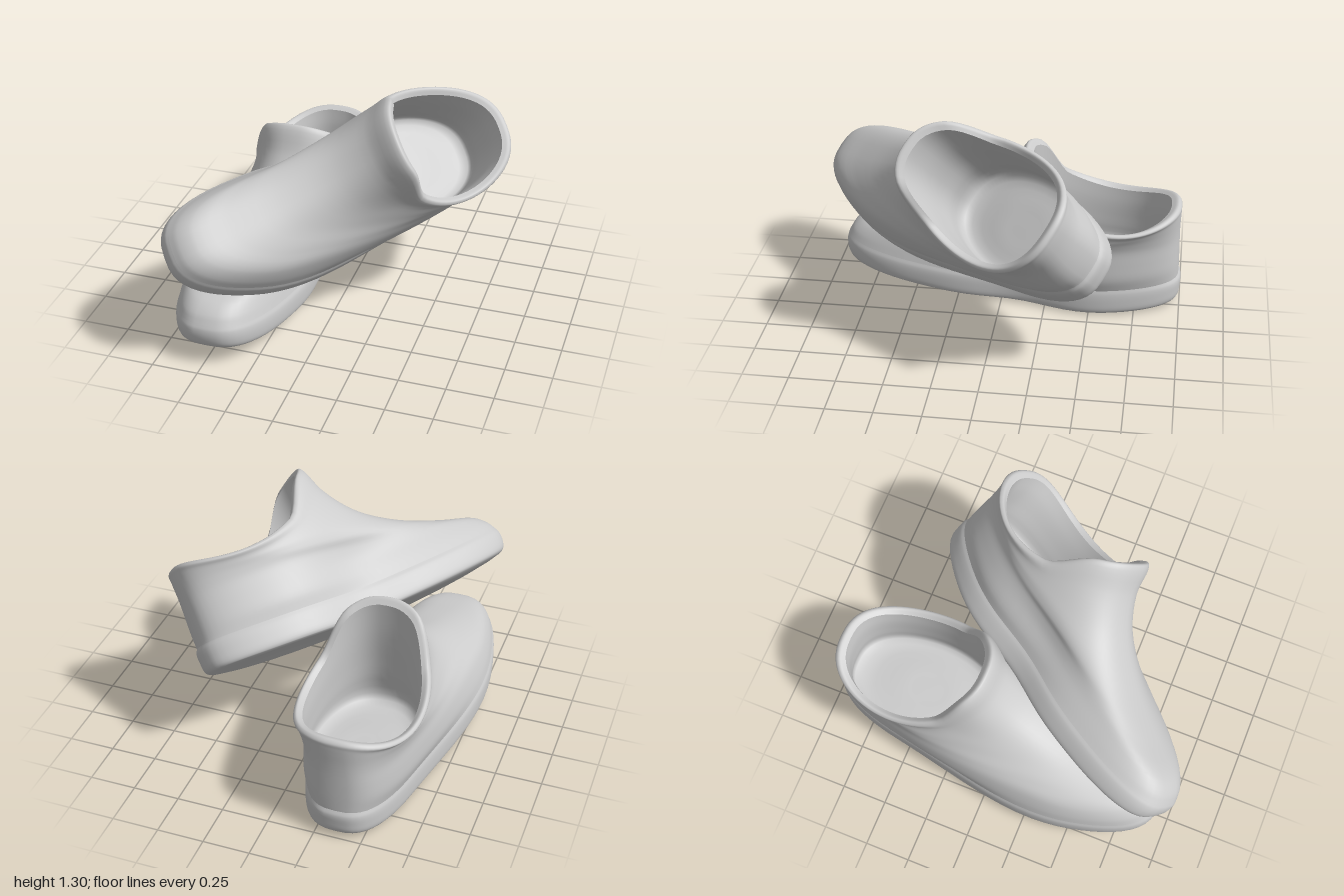
import * as THREE from 'three';

const SIDES = 72;
const smooth = THREE.MathUtils.smoothstep;
const lerp = THREE.MathUtils.lerp;

// Horizontal loops of the shoe, from the sole to the collar and back down inside:
// [heel z, front z, heel y, middle y, front y, half width, heel width factor, foot shape 0..1, tongue rise]
const SOLE = [
  [-0.06, -0.05, 0.01, 0.01, 0.01, 0.001, 1, 1, 0],
  [-0.55, 0.48, 0.01, 0.008, 0.035, 0.2, 1, 1, 0],
  [-0.97, 0.88, 0.018, 0.01, 0.1, 0.32, 0.96, 1, 0],
  [-0.993, 0.92, 0.04, 0.025, 0.125, 0.335, 0.96, 1, 0],
  [-1.0, 0.935, 0.09, 0.08, 0.175, 0.34, 0.96, 1, 0],
  [-1.0, 0.932, 0.14, 0.13, 0.22, 0.337, 0.96, 1, 0],
  [-0.988, 0.92, 0.165, 0.155, 0.245, 0.328, 0.97, 1, 0],
];
const UPPER = [
  [-0.988, 0.92, 0.165, 0.155, 0.245, 0.328, 0.97, 1, 0],
  [-0.987, 0.89, 0.24, 0.22, 0.29, 0.315, 1.08, 1, 0],
  [-0.985, 0.82, 0.32, 0.31, 0.338, 0.292, 1.16, 0.95, 0],
  [-0.983, 0.62, 0.4, 0.38, 0.38, 0.277, 1.18, 0.75, 0],
  [-0.983, 0.35, 0.46, 0.43, 0.455, 0.28, 1.15, 0.45, 0],
  [-0.985, 0.11, 0.52, 0.47, 0.58, 0.295, 1.08, 0.2, 0],
  [-0.986, -0.04, 0.56, 0.505, 0.69, 0.318, 1, 0, 0.05],
  [-0.985, -0.1, 0.585, 0.53, 0.755, 0.33, 1, 0, 0.115],
  [-0.965, -0.125, 0.6, 0.545, 0.775, 0.315, 1, 0, 0.12],
  [-0.93, -0.16, 0.585, 0.525, 0.755, 0.285, 1, 0, 0.11],
];
const LINING = [
  [-0.93, -0.16, 0.585, 0.525, 0.755, 0.285, 1, 0, 0.11],
  [-0.92, -0.15, 0.48, 0.43, 0.62, 0.275, 1, 0, 0.03],
  [-0.925, -0.12, 0.32, 0.3, 0.4, 0.272, 1, 0, 0],
  [-0.925, -0.1, 0.2, 0.2, 0.2, 0.265, 1, 0, 0],
  [-0.65, -0.35, 0.19, 0.19, 0.19, 0.12, 1, 0, 0],
  [-0.51, -0.5, 0.19, 0.19, 0.19, 0.001, 1, 0, 0],
];

// One point of a loop; angle 0 is the toe
function loopPoint([zb, zf, yb, ym, yf, w, heel, foot, tongue], angle, side) {
  const v = Math.cos(angle), s = Math.sin(angle);
  const z = (zb + zf) / 2 + v * (zf - zb) / 2;
  // the tongue keeps its height a little further round on the inner side
  const y = ym + v * (yf - yb) / 2 + v * v * ((yf + yb) / 2 - ym)
    + tongue * smooth(v + 0.06 * s, 0.48, 0.86);
  // the forefoot swings outward and the inner side has a waist
  const centre = lerp(0.05, 0.04 - 0.12 * smooth(z, -0.6, 0.5), foot);
  const spread = lerp(heel, 1, smooth(z, -0.5, 0.3));
  const waist = s > 0 ? 0.22 * foot * Math.exp(-(((z + 0.1) / 0.28) ** 2)) : 0;
  const blunt = Math.abs(s) ** lerp(0.82, 0.72, foot);
  const x = centre + Math.sign(s) * blunt * w * (spread - waist);
  return new THREE.Vector3(side * x, y, z);
}

// Skin through the loops, smoothed along each rib
function skin(name, loops, side, material) {
  const rows = (loops.length - 1) * 4;
  const pos = [], index = [];
  for (let j = 0; j < SIDES; j++) {
    const angle = (j / SIDES) * Math.PI * 2;
    const rib = new THREE.CatmullRomCurve3(loops.map((l) => loopPoint(l, angle, side)));
    for (let i = 0; i <= rows; i++) pos.push(...rib.getPoint(i / rows).toArray());
  }
  for (let j = 0; j < SIDES; j++) {
    for (let i = 0; i < rows; i++) {
      const a = j * (rows + 1) + i;
      const b = ((j + 1) % SIDES) * (rows + 1) + i;
      if (side > 0) index.push(a, b, a + 1, b, b + 1, a + 1);
      else index.push(a, a + 1, b, b, a + 1, b + 1);
    }
  }
  const geo = new THREE.BufferGeometry();
  geo.setAttribute('position', new THREE.Float32BufferAttribute(pos, 3));
  geo.setIndex(index);
  geo.computeVertexNormals();
  const mesh = new THREE.Mesh(geo, material);
  mesh.name = name;
  return mesh;
}

function shoe(name, side, material) {
  const g = new THREE.Group();
  g.name = name;
  g.add(
    skin('sole', SOLE, side, material),
    skin('upper', UPPER, side, material),
    skin('lining', LINING, side, material),
  );
  return g;
}

export function createModel() {
  const model = new THREE.Group();
  model.name = 'pairOfShoes';
  const material = new THREE.MeshStandardMaterial({ color: 0xcccccc, side: THREE.DoubleSide });

  // right shoe stands flat
  const right = shoe('rightShoe', 1, material);
  right.position.x = -0.4;

  // left shoe lies across it, turned, rolled onto its outer side, toe slightly raised
  const left = shoe('leftShoe', -1, material);
  left.rotation.set(-0.045, -0.72, -0.79, 'YXZ');
  left.position.set(-0.175, 0.545, 0.14);

  model.add(right, left);
  return model;
}
